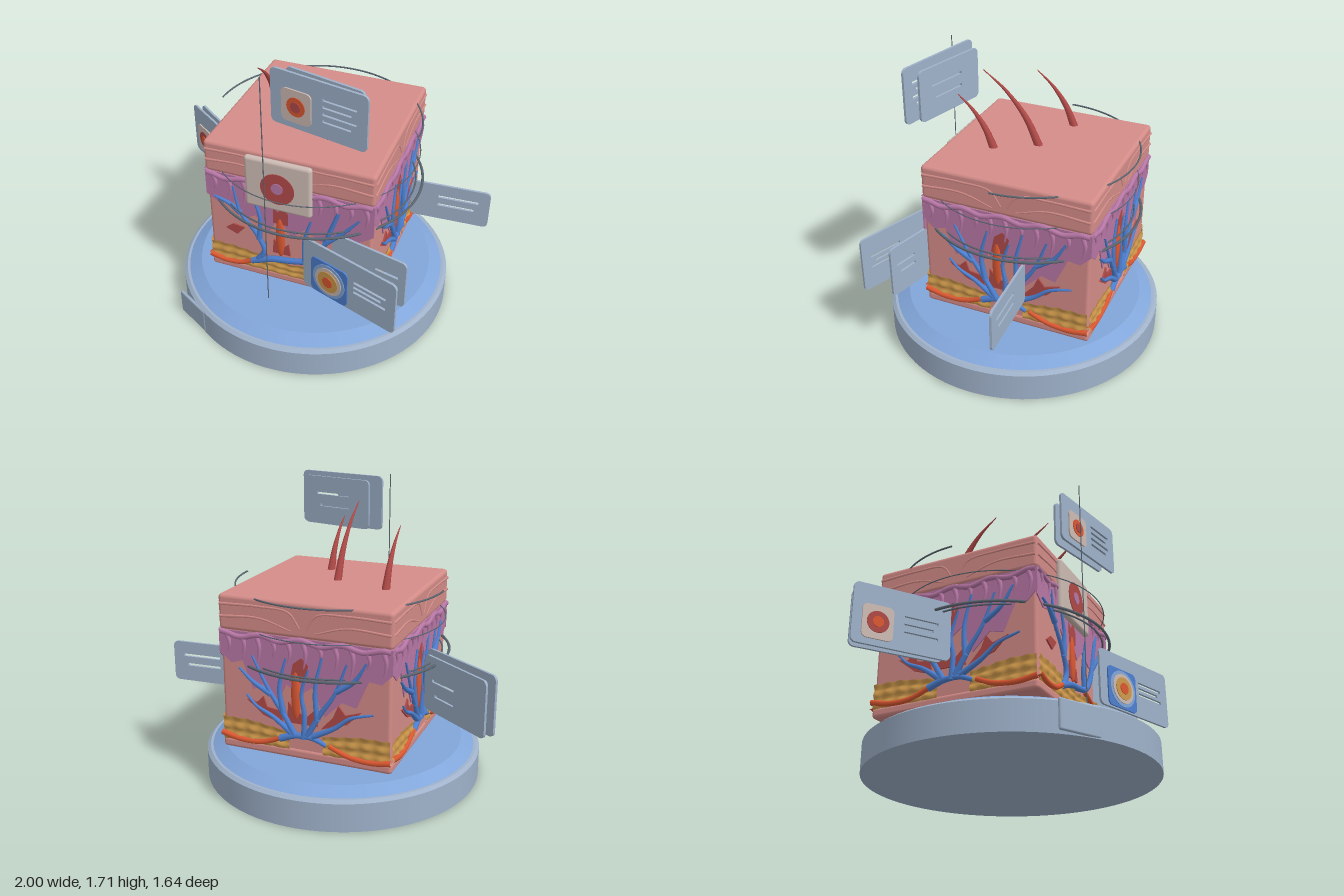
import * as THREE from 'three';
import { RoundedBoxGeometry } from 'three/addons/geometries/RoundedBoxGeometry.js';

const mat = (name, color, side = THREE.FrontSide) => {
  const m = new THREE.MeshStandardMaterial({ color, side });
  m.name = name;
  return m;
};

export function createModel() {
  const model = new THREE.Group();
  model.name = 'skinSection';
  const M = {
    skin: mat('skin pink', 0xd48c88),
    mauve: mat('dermis mauve', 0xb877a6),
    fat: mat('fat yellow', 0xd09a4c, THREE.DoubleSide),
    blue: mat('vein blue', 0x4d80d2),
    red: mat('dark red', 0xb04a48),
    orange: mat('artery orange', 0xdc5832),
    steel: mat('steel blue', 0x9fb2ca),
    disc: mat('disc blue', 0x82a6da),
    wire: mat('wire grey', 0x5c6672),
    ivory: mat('ivory', 0xcdbbb4),
  };
  const add = (parent, name, geo, material, x = 0, y = 0, z = 0) => {
    const m = new THREE.Mesh(geo, material);
    m.name = name;
    m.position.set(x, y, z);
    parent.add(m);
    return m;
  };
  const group = (parent, name) => {
    const g = new THREE.Group();
    g.name = name;
    parent.add(g);
    return g;
  };
  // Tube along points, tapering from r0 to r1
  const taper = (pts, r0, r1, seg = 20, sides = 8) => {
    const curve = new THREE.CatmullRomCurve3(pts.map(p => new THREE.Vector3(p[0], p[1], p[2] || 0)));
    const geo = new THREE.TubeGeometry(curve, seg, 1, sides, false);
    const pos = geo.attributes.position, v = new THREE.Vector3();
    for (let i = 0; i < pos.count; i++) {
      const t = Math.floor(i / (sides + 1)) / seg, c = curve.getPointAt(t);
      v.fromBufferAttribute(pos, i).sub(c).multiplyScalar(r0 + (r1 - r0) * t).add(c);
      pos.setXYZ(i, v.x, v.y, v.z);
    }
    return geo;
  };
  const plate = (pts, depth) => new THREE.ExtrudeGeometry(
    new THREE.Shape(pts.map(p => new THREE.Vector2(p[0], p[1]))), { depth, bevelEnabled: false });
  const roundRect = (w, h, r) => {
    const s = new THREE.Shape(), x = w / 2 - r, y = h / 2 - r;
    s.absarc(x, y, r, 0, Math.PI / 2);
    s.absarc(-x, y, r, Math.PI / 2, Math.PI);
    s.absarc(-x, -y, r, Math.PI, Math.PI * 1.5);
    s.absarc(x, -y, r, Math.PI * 1.5, Math.PI * 2);
    return s;
  };
  const disc = (r, d) => new THREE.CylinderGeometry(r, r, d, 28).rotateX(Math.PI / 2);

  // Round base with a blue bevelled top
  const base = group(model, 'base');
  add(base, 'baseSide', new THREE.CylinderGeometry(0.82, 0.82, 0.165, 80), M.steel, 0, 0.0825, 0);
  add(base, 'baseRim', new THREE.CylinderGeometry(0.80, 0.82, 0.015, 80), M.steel, 0, 0.1725, 0);
  add(base, 'baseTop', new THREE.CylinderGeometry(0.71, 0.785, 0.04, 80), M.disc, 0, 0.2, 0);
  const tab = add(base, 'baseTab', new RoundedBoxGeometry(0.25, 0.16, 0.02, 2, 0.01), M.steel, -0.54, 0.085, 0.63);
  tab.rotation.y = -0.5;

  // Tissue block
  const block = group(model, 'block');
  block.position.set(-0.01, 0, -0.095);
  add(block, 'blockCore', new RoundedBoxGeometry(0.985, 0.88, 0.985, 3, 0.02), M.skin, 0, 0.735, 0);
  add(block, 'topSkin', new RoundedBoxGeometry(1, 0.2, 1, 4, 0.022), M.skin, 0, 1.083, 0);
  add(block, 'bottomSkin', new RoundedBoxGeometry(1, 0.06, 1, 4, 0.02), M.skin, 0, 0.32, 0);

  // Layouts of the cut faces: [across, height] points
  const frontFace = {
    dermis: [[-0.5, 0.82], [-0.42, 0.77], [-0.33, 0.8], [-0.27, 0.7], [-0.2, 0.74], [-0.12, 0.64], [-0.06, 0.76],
      [0.02, 0.64], [0.1, 0.72], [0.2, 0.66], [0.28, 0.74], [0.4, 0.71], [0.5, 0.78]],
    veins: [
      [[-0.23, 0.4], [-0.1, 0.45], [0.02, 0.47], [0.12, 0.5], [0.2, 0.6], [0.25, 0.75], [0.3, 0.9]],
      [[-0.2, 0.41], [-0.15, 0.5], [-0.2, 0.62], [-0.29, 0.74], [-0.33, 0.92]],
      [[-0.29, 0.74], [-0.36, 0.79], [-0.45, 0.82]], [[-0.18, 0.58], [-0.17, 0.74], [-0.22, 0.9]],
      [[0.22, 0.66], [0.33, 0.77], [0.42, 0.88]], [[0.1, 0.5], [0.1, 0.65], [0.14, 0.8]],
    ],
    arteries: [[[-0.5, 0.375], [-0.4, 0.355], [-0.3, 0.365], [-0.21, 0.41]],
      [[0.5, 0.375], [0.36, 0.375], [0.22, 0.43], [0.1, 0.48]]],
    patches: [[[-0.39, 0.6], [-0.32, 0.57], [-0.27, 0.63], [-0.34, 0.64]],
      [[-0.09, 0.72], [0, 0.72], [0, 0.8], [-0.03, 0.85], [-0.06, 0.8], [-0.09, 0.83]],
      [[-0.1, 0.5], [0.01, 0.5], [0, 0.58], [-0.04, 0.54], [-0.09, 0.6]]],
    bulb: [-0.05, 0.62], fat: [[-0.49, 0.49]],
  };
  const sideFace = {
    dermis: [[-0.5, 0.86], [-0.43, 0.8], [-0.36, 0.82], [-0.3, 0.66], [-0.24, 0.7], [-0.17, 0.58], [-0.1, 0.72], [-0.03, 0.66],
      [0.05, 0.72], [0.12, 0.56], [0.22, 0.66], [0.3, 0.64], [0.37, 0.8], [0.44, 0.79], [0.5, 0.85]],
    veins: [
      [[-0.14, 0.4], [-0.05, 0.43], [0.05, 0.43], [0.13, 0.4]],
      [[0, 0.42], [0.005, 0.56], [-0.01, 0.68], [0.03, 0.82]],
      [[-0.05, 0.43], [-0.12, 0.55], [-0.2, 0.67], [-0.3, 0.86]], [[-0.12, 0.55], [-0.14, 0.7], [-0.1, 0.87]],
      [[-0.07, 0.44], [-0.18, 0.52], [-0.28, 0.57], [-0.34, 0.63]], [[-0.19, 0.65], [-0.3, 0.71], [-0.38, 0.78]],
      [[0.02, 0.44], [0.1, 0.58], [0.18, 0.7], [0.25, 0.88]], [[0.08, 0.54], [0.07, 0.72], [0.11, 0.9]],
      [[0.05, 0.44], [0.18, 0.51], [0.27, 0.58], [0.4, 0.62]], [[0.19, 0.72], [0.29, 0.79], [0.36, 0.9]],
    ],
    arteries: [[[-0.5, 0.38], [-0.38, 0.355], [-0.25, 0.36], [-0.12, 0.41]],
      [[0.5, 0.36], [0.38, 0.345], [0.25, 0.36], [0.15, 0.4]]],
    patches: [[[-0.34, 0.6], [-0.24, 0.52], [-0.12, 0.48], [-0.14, 0.56], [-0.22, 0.57], [-0.24, 0.63], [-0.28, 0.59]],
      [[-0.1, 0.5], [0.08, 0.5], [0.07, 0.6], [0.02, 0.55], [-0.05, 0.57], [-0.09, 0.62]],
      [[0.1, 0.49], [0.25, 0.54], [0.33, 0.62], [0.24, 0.59], [0.2, 0.64], [0.17, 0.57]],
      [[-0.08, 0.74], [0, 0.74], [0.03, 0.84], [-0.01, 0.88], [-0.06, 0.84]]],
    bulb: [-0.045, 0.66], fat: [[-0.49, -0.09], [0.11, 0.49]],
  };
  const buildFace = (name, f, angle) => {
    const turn = group(block, name);
    turn.rotation.y = angle;
    const g = group(turn, name + 'Relief');
    g.position.z = 0.492;
    // Dermis sheet, its ridge and drips
    add(g, 'dermis', plate([...f.dermis, [0.5, 0.985], [-0.5, 0.985]], 0.007), M.mauve);
    const ridge = [];
    for (let i = 0; i <= 20; i++) ridge.push([-0.49 + i * 0.049, 0.965 + 0.012 * Math.cos(i * 1.3), 0.006]);
    add(g, 'dermisRidge', taper(ridge, 0.016, 0.016, 60), M.mauve);
    for (let i = 0; i < 11; i++) {
      const u = -0.45 + i * 0.09;
      add(g, 'dermisDrip', taper([[u, 0.96, 0.005], [u + 0.015, 0.91, 0.008], [u, 0.86 - 0.03 * (i % 3), 0.004]], 0.015, 0.004, 8), M.mauve);
    }
    // Lumpy fat
    for (const [a, b] of f.fat) {
      const geo = new THREE.PlaneGeometry(b - a, 1, 60, 12), p = geo.attributes.position;
      for (let i = 0; i < p.count; i++) {
        const u = p.getX(i) + (a + b) / 2, t = p.getY(i) + 0.5;
        const top = 0.435 + 0.045 * Math.min(1, Math.abs(u) * 3);
        p.setXYZ(i, u, 0.335 + t * (top - 0.335),
          0.002 + 0.015 * Math.abs(Math.sin(t * Math.PI * 2.5)) * (0.7 + 0.3 * Math.sin(u * 75)));
      }
      geo.computeVertexNormals();
      add(g, 'fatLayer', geo, M.fat);
    }
    // Muscle patches, bulb and vessels
    for (const p of f.patches) add(g, 'redPatch', plate(p, 0.0095), M.red);
    add(g, 'bulb', new THREE.SphereGeometry(1, 16, 12), M.orange, f.bulb[0], f.bulb[1], 0.006).scale.set(0.028, 0.14, 0.016);
    const lift = pts => pts.map(p => [p[0], p[1], 0.012]);
    f.veins.forEach((v, i) => add(g, 'vein', taper(lift(v), i ? 0.018 : 0.021, i ? 0.006 : 0.012), M.blue));
    for (const v of f.arteries) add(g, 'artery', taper(lift(v), 0.017, 0.014), M.orange);
    // Skin folds
    for (const s of [-1, 1]) {
      add(g, 'skinFold', taper([[s * 0.49, 1.13, 0.006], [s * 0.25, 1.135, 0.006], [s * 0.08, 1.12, 0.006], [s * 0.02, 1.04, 0.006]], 0.009, 0.006), M.skin);
      add(g, 'skinFold', taper([[s * 0.49, 1.06, 0.006], [s * 0.25, 1.07, 0.006], [s * 0.07, 1.02, 0.006]], 0.009, 0.005), M.skin);
    }
  };
  buildFace('frontFace', frontFace, 0);
  buildFace('leftFace', sideFace, Math.PI / 2);
  buildFace('backFace', sideFace, Math.PI);
  buildFace('rightFace', sideFace, -Math.PI / 2);

  // Hairs
  for (const [x, z, tipY, tipZ] of [[-0.32, -0.18, 1.49, 0.06], [0, -0.09, 1.58, 0.25], [0.13, 0.13, 1.47, 0.35]]) {
    const dy = tipY - 1.17, dz = tipZ - z;
    add(model, 'hair', taper([[x, 1.17, z], [x, 1.17 + dy * 0.4, z + dz * 0.24], [x, 1.17 + dy * 0.75, z + dz * 0.6], [x, tipY, tipZ]], 0.025, 0.002), M.red);
  }

  // Wire rings and pointer line
  const ring = (y, r, tube, arc = Math.PI * 2) =>
    add(model, 'wireRing', new THREE.TorusGeometry(r, tube, 6, 96, arc).rotateX(Math.PI / 2).rotateY(arc < 6 ? Math.PI : 0), M.wire, -0.01, y, -0.057);
  ring(0.79, 0.625, 0.008);
  ring(0.79, 0.585, 0.005);
  ring(0.985, 0.6, 0.003);
  ring(1.172, 0.6, 0.005, Math.PI).rotation.y = 0;
  add(model, 'pointerLine', new THREE.CylinderGeometry(0.003, 0.003, 1.49, 6), M.wire, -0.105, 0.965, 0.5);

  // Label cards: slots are [left, right, height] as fractions of the card
  const card = (name, [x0, z0], [x1, z1], y0, y1, slots) => {
    const w = Math.hypot(x1 - x0, z1 - z0), h = y1 - y0;
    const g = group(model, name);
    g.position.set((x0 + x1) / 2, (y0 + y1) / 2, (z0 + z1) / 2);
    g.rotation.y = Math.atan2(z0 - z1, x1 - x0);
    const s = roundRect(w, h, 0.03);
    for (const [a, b, t] of slots) {
      const l = (a - 0.5) * w, r = (b - 0.5) * w, y = (t - 0.5) * h, e = 0.008;
      s.holes.push(new THREE.Path([[l, y - e], [l, y + e], [r, y + e], [r, y - e]].map(p => new THREE.Vector2(...p))));
    }
    add(g, name + 'Plate', new THREE.ExtrudeGeometry(s, { depth: 0.014, bevelEnabled: false }), M.steel, 0, 0, -0.007);
    g.userData = { w, h };
    return g;
  };
  // Picture on a card: rounded backing and stacked discs
  const picture = (g, fx, fy, pw, ph, backing, discs) => {
    const x = (fx - 0.5) * g.userData.w, y = (fy - 0.5) * g.userData.h;
    add(g, 'pictureBacking', new THREE.ExtrudeGeometry(roundRect(pw, ph, 0.03), { depth: 0.008, bevelEnabled: false }), backing, x, y, 0.007);
    discs.forEach(([r, m], i) => add(g, 'pictureDisc', disc(r, 0.006), m, x, y, 0.016 + i * 0.004));
  };
  const lines = (a, b, ys) => ys.map((y, i) => [a, b - (i % 2) * 0.05, y]);

  const top = card('topCard', [-0.1, 0.375], [0.46, 0.49], 1.39, 1.71, lines(0.55, 0.89, [0.7, 0.57, 0.44, 0.31]));
  picture(top, 0.28, 0.42, 0.18, 0.19, M.ivory, [[0.055, M.orange], [0.03, M.red]]);
  card('topBackCard', [-0.04, 0.31], [0.42, 0.42], 1.4, 1.69, lines(0.3, 0.8, [0.65, 0.4]));

  const low = card('lowerCard', [0.12, 0.49], [0.71, 0.69], 0.41, 0.75, lines(0.56, 0.9, [0.62, 0.52, 0.42]));
  picture(low, 0.3, 0.38, 0.25, 0.24, M.blue, [[0.11, M.disc], [0.09, M.ivory], [0.068, M.fat], [0.034, M.orange]]);
  card('lowerBackCard', [0.25, 0.39], [0.71, 0.5], 0.43, 0.74, lines(0.6, 0.9, [0.62, 0.45]));

  const right = card('rightCard', [-1, -0.4], [-0.55, -0.09], 0.51, 0.85, lines(0.52, 0.87, [0.57, 0.44, 0.31]));
  picture(right, 0.25, 0.38, 0.17, 0.19, M.ivory, [[0.06, M.red], [0.03, M.orange]]);
  card('rightBackCard', [-0.96, -0.44], [-0.55, -0.14], 0.51, 0.83, lines(0.5, 0.87, [0.57, 0.31]));

  card('leftCard', [0.53, -0.23], [1, -0.255], 0.505, 0.75, lines(0.35, 0.86, [0.66, 0.42]));

  // Padded cell picture on the front face
  const cell = group(model, 'cellPanel');
  cell.position.set(-0.057, 0.995, 0.415);
  add(cell, 'cellPanelPad', new RoundedBoxGeometry(0.395, 0.33, 0.04, 4, 0.02), M.ivory);
  add(cell, 'cellBody', disc(0.1, 0.008), M.red, 0, -0.01, 0.02);
  add(cell, 'cellCore', disc(0.035, 0.008), M.mauve, 0, -0.005, 0.024);

  return model;
}
